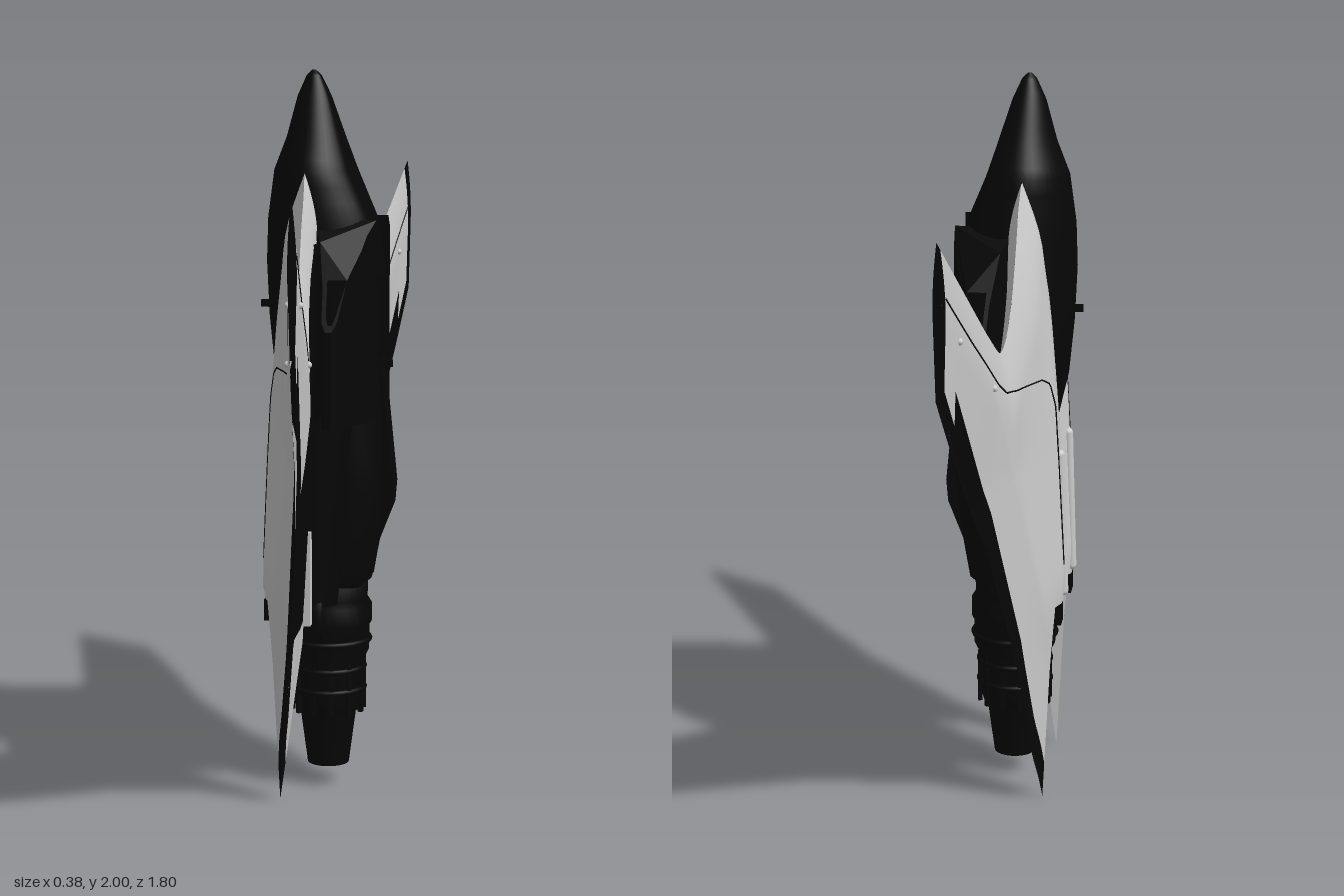
import * as THREE from 'three';

const grey = new THREE.MeshStandardMaterial({ color: 0xcccccc, side: THREE.DoubleSide });
const black = new THREE.MeshStandardMaterial({ color: 0x060606, side: THREE.DoubleSide });

const { lerp, clamp, smoothstep: smooth } = THREE.MathUtils;

// piecewise linear lookup in [[key, value], ...]
function look(table, k) {
  if (k <= table[0][0]) return table[0][1];
  for (let i = 1; i < table.length; i++) {
    const [a, va] = table[i - 1], [b, vb] = table[i];
    if (k <= b) return lerp(va, vb, (k - a) / (b - a));
  }
  return table[table.length - 1][1];
}

function add(parent, name, geo, mat) {
  const m = new THREE.Mesh(geo, mat);
  m.name = name;
  parent.add(m);
  return m;
}

function box(parent, name, size, pos, mat = black) {
  const m = add(parent, name, new THREE.BoxGeometry(...size), mat);
  m.position.set(...pos);
  return m;
}

// surface from f(u, v) -> [x, y, z]
function grid(f, nu, nv) {
  const pos = [], idx = [];
  for (let i = 0; i <= nu; i++) for (let j = 0; j <= nv; j++) pos.push(...f(i / nu, j / nv));
  for (let i = 0; i < nu; i++) for (let j = 0; j < nv; j++) {
    const a = i * (nv + 1) + j, b = a + nv + 1;
    idx.push(a, b, a + 1, b, b + 1, a + 1);
  }
  const g = new THREE.BufferGeometry();
  g.setAttribute('position', new THREE.Float32BufferAttribute(pos, 3));
  g.setIndex(idx);
  g.computeVertexNormals();
  return g;
}

// wing outline and thickness, all by span position z
const LEAD = [[0.075, 1.5], [0.15, 1.74], [0.2, 1.645], [0.245, 1.54], [0.29, 1.43], [0.315, 1.38], [0.34, 1.345],
  [0.365, 1.325], [0.39, 1.32], [0.42, 1.34], [0.9, 1.71]];
const TRAIL = [[0.19, 0], [0.25, 0.14], [0.31, 0.39], [0.5, 0.78], [0.9, 1.32]];
const MID = [[0.075, -0.065], [0.15, -0.062], [0.22, -0.05], [0.3, -0.025], [0.5, 0.015], [0.9, 0.079]];
const HALF = [[0.075, 0.03], [0.11, 0.045], [0.15, 0.046], [0.22, 0.042], [0.3, 0.036], [0.5, 0.03], [0.9, 0.017]];
const HUMP = [[0.075, 0.022], [0.11, 0.03], [0.16, 0.03], [0.22, 0.015], [0.32, 0]];
const BREAK = [[0.19, 0.1], [0.25, 0.25], [0.31, 0.5], [0.5, 0.92], [0.79, 1.32]];
const SHOULDER_END = 0.56;
const lead = z => look(LEAD, z);
const trail = z => look(TRAIL, z);
const edge = z => z > 0.79 ? lerp(1.23, 1.34, (z - 0.79) / 0.08) : look(BREAK, z);

// side -1 is the upper skin, +1 the lower skin
function skin(side, z, y) {
  const round = Math.sin(Math.PI / 2 * clamp((lead(z) - y) / 0.2, 0, 1));
  const taper = lerp(clamp((y - trail(z)) / 0.45, 0, 1), 1, 0.3 * smooth(z, 0.5, 0.9));
  let x = look(MID, z) - 0.045 * Math.max(0, 1 - y);
  x += 0.025 * smooth(y, 1.3, 1.74) * (1 - smooth(z, 0.2, 0.4));
  x += side * look(HALF, z) * round * taper;
  if (side < 0) x -= look(HUMP, z) * smooth(1.5 - y, 0, 0.55) * smooth(y, 0.4, 0.65);
  return x;
}

function panel(parent, name, side, z0, z1, top, bottom, mat) {
  add(parent, name, grid((u, v) => {
    const z = lerp(z0, z1, u), y = lerp(top(z), bottom(z), v);
    return [skin(side, z, y), y, z];
  }, Math.max(2, Math.ceil((z1 - z0) * 80)), 28), mat);
}

function buildWing() {
  const w = new THREE.Group();
  const end = () => SHOULDER_END;
  // upper skin
  panel(w, 'shoulderTop', -1, 0.075, 0.193, lead, end, grey);
  for (const [a, b] of [[0.19, 0.5], [0.5, 0.79], [0.7901, 0.87]]) {
    panel(w, 'wingTop', -1, a, b, lead, edge, grey);
    panel(w, 'wingTopTrailingBand', -1, a, b, edge, trail, black);
    if (a >= 0.5) {
      panel(w, 'wingUnderside', 1, a, b, lead, edge, grey);
      panel(w, 'wingUndersideTrailingBand', 1, a, b, edge, trail, black);
    }
  }
  // lower skin: pale leading edge, dark middle, pale fin
  const pale = z => z < 0.33 ? lerp(1.62, 1.22, (z - 0.15) / 0.18)
    : z < 0.41 ? 1.215 : lerp(1.21, 0.92, (z - 0.41) / 0.09);
  const finTop = z => lerp(0.52, 0.48, (z - 0.19) / 0.11);
  const rootPale = z => Math.min(lead(z), 1.54);
  panel(w, 'shoulderLeadingUnderside', 1, 0.075, 0.193, lead, rootPale, grey);
  panel(w, 'shoulderUnderside', 1, 0.075, 0.193, rootPale, end, black);
  for (const [a, b] of [[0.19, 0.33], [0.33, 0.41], [0.41, 0.5]])
    panel(w, 'leadingUnderside', 1, a, b, lead, pale, grey);
  panel(w, 'innerUnderside', 1, 0.19, 0.3, pale, finTop, black);
  panel(w, 'finUnderside', 1, 0.19, 0.3, finTop, edge, grey);
  panel(w, 'finTrailingBand', 1, 0.19, 0.3, edge, trail, black);
  for (const [a, b] of [[0.3, 0.33], [0.33, 0.41], [0.41, 0.5]])
    panel(w, 'midUnderside', 1, a, b, pale, trail, black);
  // tip strip
  for (const s of [-1, 1]) panel(w, 'wingTip', s, 0.87, 0.9, lead, trail, black);

  // closing walls: root, fin inside, tip and shoulder end
  const wall = (name, z, y0, y1, mat) => add(w, name, grid((u, v) => {
    const y = lerp(y0, y1, u);
    return [lerp(skin(-1, z, y), skin(1, z, y), v), y, z];
  }, 24, 1), mat);
  wall('shoulderInnerWall', 0.075, SHOULDER_END, 1.5, grey);
  wall('finInnerWall', 0.19, 0, SHOULDER_END, grey);
  wall('tipWall', 0.9, 1.32, 1.71, black);
  add(w, 'shoulderEnd', grid((u, v) => {
    const z = lerp(0.075, 0.19, u);
    return [lerp(skin(-1, z, SHOULDER_END), skin(1, z, SHOULDER_END), v), SHOULDER_END, z];
  }, 8, 1), black);

  // panel seam and rivet domes; the upper seam turns aft along the shoulder
  const seam = [[1.57, 0.87], [1.41, 0.67], [1.255, 0.47], [1.22, 0.41], [1.21, 0.34]];
  const aft = [[1.21, 0.22], [1.19, 0.18], [1.13, 0.16], [0.58, 0.145]];
  for (const s of [-1, 1]) {
    const path = s < 0 ? [...seam, ...aft] : seam;
    const pts = [];
    for (let i = 0; i < path.length - 1; i++) for (let k = 0; k < 6; k++) {
      const y = lerp(path[i][0], path[i + 1][0], k / 6), z = lerp(path[i][1], path[i + 1][1], k / 6);
      pts.push(new THREE.Vector3(skin(s, z, y), y, z));
    }
    add(w, 'panelSeam', new THREE.TubeGeometry(new THREE.CatmullRomCurve3(pts), 90, 0.0025, 5), black);
    for (const [y, z] of [[1.26, 0.52], [1.44, 0.77]])
      add(w, 'dome', new THREE.SphereGeometry(0.009, 12, 8), grey).position.set(skin(s, z, y), y, z);
  }

  // slim fairing along the shoulder ridge
  const ridge = add(w, 'shoulderFairing', new THREE.CapsuleGeometry(0.015, 0.39, 6, 12), grey);
  ridge.position.set(-0.142, 0.78, 0.115);
  ridge.rotation.z = -0.03;

  // open intake duct with a raked lip
  const ring = pts => pts.map(([x, z]) => new THREE.Vector2(x, -z));
  const outline = new THREE.Shape(ring([[-0.02, 0.12], [0.015, 0.2], [0.035, 0.27], [0.04, 0.315], [0.052, 0.33],
    [0.07, 0.33], [0.082, 0.315], [0.11, 0.25], [0.14, 0.19], [0.15, 0.1]]));
  outline.holes.push(new THREE.Path(ring([[0.045, 0.255], [0.051, 0.31], [0.058, 0.32], [0.068, 0.32],
    [0.075, 0.31], [0.098, 0.255]])));
  const duct = new THREE.ExtrudeGeometry(outline, { depth: 1, bevelEnabled: false });
  duct.rotateX(-Math.PI / 2);
  const p = duct.attributes.position;
  for (let i = 0; i < p.count; i++) {
    const out = clamp((p.getZ(i) - 0.17) / 0.16, 0, 1);
    p.setY(i, p.getY(i) > 0.5 ? lerp(1.6, 1.32, out) : 1.06);
  }
  duct.computeVertexNormals();
  add(w, 'intakeDuct', duct, black);

  // lower body fairing, pale strip, braces and pipes beside the engine
  add(w, 'bodyFairing', grid((u, v) => {
    const a = v * Math.PI, y = lerp(1.07, 0.54, u), r = lerp(1, 0.6, u);
    return [-0.04 + 0.14 * r * Math.sin(a), y, 0.1 + 0.13 * r * Math.cos(a)];
  }, 8, 14), black);
  box(w, 'paleStrip', [0.03, 0.26, 0.028], [-0.025, 0.63, 0.204], grey);
  box(w, 'shoulderStub', [0.04, 0.06, 0.06], [-0.128, 0.53, 0.14]);
  box(w, 'finBrace', [0.03, 0.05, 0.1], [-0.07, 0.53, 0.15]);
  const pipe = new THREE.CatmullRomCurve3([[0.0, 0.58, 0.1], [0.0, 0.55, 0.155], [0.0, 0.48, 0.16],
    [0.0, 0.44, 0.11]].map(q => new THREE.Vector3(...q)));
  add(w, 'enginePipe', new THREE.TubeGeometry(pipe, 16, 0.015, 8), black);
  return w;
}

export function createModel() {
  const model = new THREE.Group();
  model.name = 'fighter';

  // fuselage sections: y, upper x, lower x, half width
  const rows = [[2, -0.045, -0.035, 0.003], [1.985, -0.06, -0.02, 0.02], [1.93, -0.085, 0.005, 0.048],
    [1.82, -0.115, 0.04, 0.1], [1.73, -0.15, 0.07, 0.145], [1.6, -0.168, 0.125, 0.155], [1.48, -0.172, 0.145, 0.157],
    [1.33, -0.165, 0.148, 0.16], [1.18, -0.15, 0.15, 0.16], [1.05, -0.12, 0.155, 0.15], [0.9, -0.09, 0.158, 0.14],
    [0.75, -0.085, 0.145, 0.13], [0.6, -0.085, 0.12, 0.12], [0.56, -0.05, 0.08, 0.08]];
  const sides = 40;
  add(model, 'fuselage', grid((u, v) => {
    const i = u * (rows.length - 1), a = Math.min(Math.floor(i), rows.length - 2);
    const [y, up, low, half] = rows[a].map((q, n) => lerp(q, rows[a + 1][n], i - a));
    const c = lerp(up, low, 0.55), k = Math.cos(v * Math.PI * 2), s = Math.sin(v * Math.PI * 2);
    const x = k < 0 ? c + (c - up) * k : c + (low - c) * Math.min(1, k * 1.2);
    return [x, y, half * Math.sign(s) * Math.pow(Math.abs(s), k < 0 ? 1.4 : 1)];
  }, (rows.length - 1) * 3, sides), black);

  // engine and nozzle
  const profile = [[0.0, 0.1], [0.045, 0.1], [0.052, 0.06], [0.058, 0.06], [0.078, 0.21], [0.09, 0.22], [0.1, 0.27],
    [0.1, 0.36], [0.115, 0.39], [0.115, 0.46], [0.122, 0.47], [0.122, 0.52], [0.11, 0.54], [0.115, 0.68], [0, 0.7]];
  add(model, 'engine', new THREE.LatheGeometry(profile.map(q => new THREE.Vector2(...q)), 32), black);
  for (let i = 0; i < 12; i++) {
    const a = (i + 0.5) / 12 * Math.PI * 2;
    const rod = box(model, 'nozzleActuator', [0.012, 0.15, 0.012], [0.1 * Math.cos(a), 0.29, 0.1 * Math.sin(a)]);
    rod.rotation.y = -a;
  }
  for (const y of [0.28, 0.34, 0.42, 0.6]) {
    const band = add(model, 'engineBand', new THREE.TorusGeometry(y < 0.4 ? 0.101 : 0.116, 0.008, 8, 32), black);
    band.rotation.x = Math.PI / 2;
    band.position.y = y;
  }

  // belly keel
  const keel = new THREE.Shape([[0.05, 1.22], [0.15, 1.22], [0.165, 1.1], [0.188, 0.87], [0.183, 0.81], [0.14, 0.7],
    [0.12, 0.6], [0.05, 0.6]].map(q => new THREE.Vector2(...q)));
  const keelGeo = new THREE.ExtrudeGeometry(keel, { depth: 0.08, bevelEnabled: false });
  add(model, 'bellyKeel', keelGeo.translate(0, 0, -0.04), black);
  box(model, 'bellySensor', [0.04, 0.02, 0.015], [0.16, 1.2, 0]);
  box(model, 'topSensor', [0.03, 0.02, 0.012], [-0.173, 1.36, 0]);

  // left and right wings
  const front = buildWing();
  front.name = 'wingFront';
  const back = front.clone();
  back.name = 'wingBack';
  back.scale.z = -1;
  model.add(front, back);
  return model;
}
